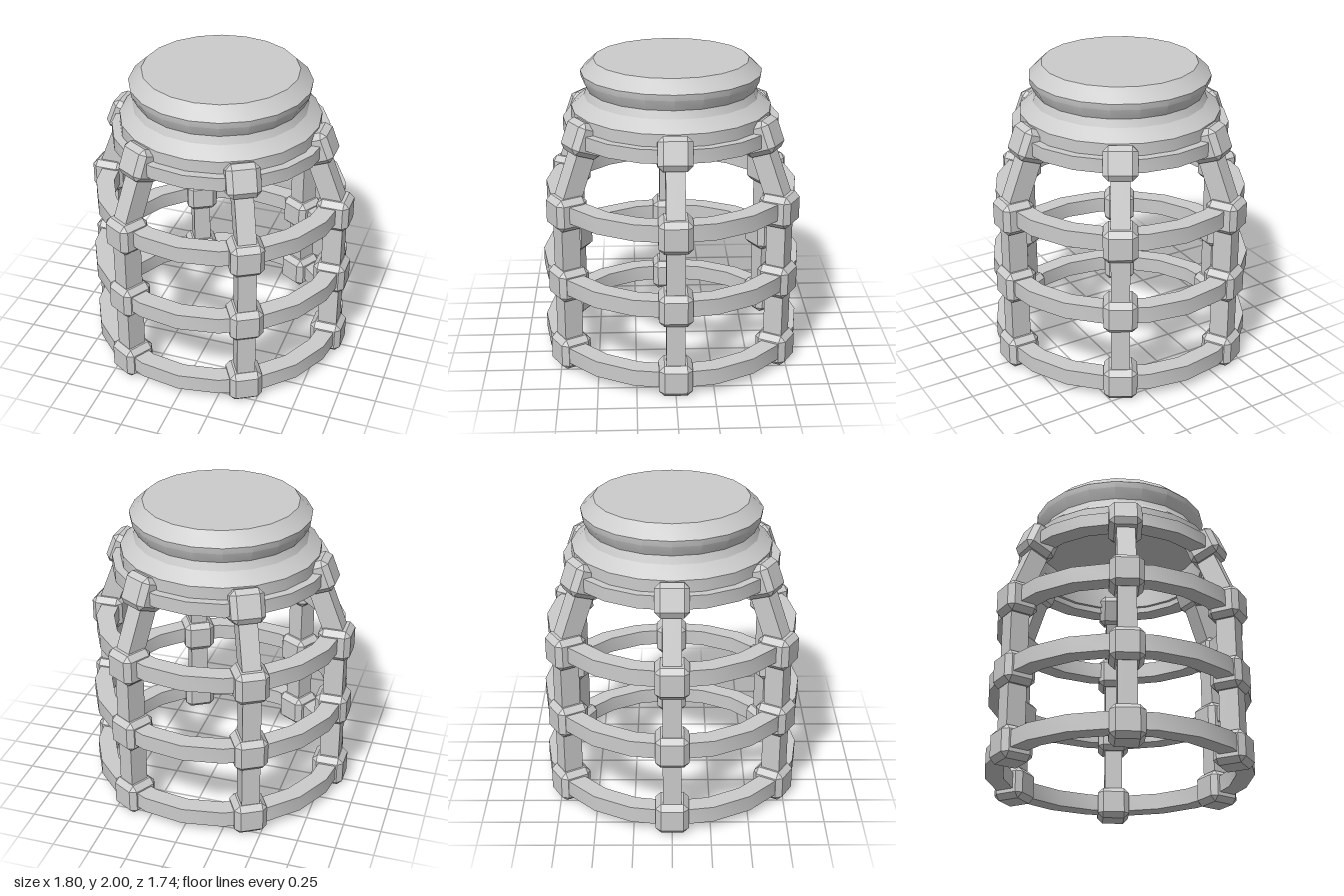
import * as THREE from 'three';
import { toCreasedNormals } from 'three/addons/utils/BufferGeometryUtils.js';
import { ConvexGeometry } from 'three/addons/geometries/ConvexGeometry.js';

const SIDES = 20;
const POSTS = 6;

export function createModel() {
  const model = new THREE.Group();
  model.name = 'cageWithCap';
  const material = new THREE.MeshStandardMaterial({ color: 0xcccccc });

  const add = (parent, name, geometry) => {
    const mesh = new THREE.Mesh(geometry, material);
    mesh.name = name;
    parent.add(mesh);
    return mesh;
  };

  // Turned part, smooth around the axis and sharp across the profile
  const turned = (profile) => toCreasedNormals(
    new THREE.LatheGeometry(profile.map(([r, y]) => new THREE.Vector2(r, y)), SIDES), 0.4);

  // Flat band with a rectangular section
  const band = (inner, outer, bottom, top) => turned([
    [inner, bottom], [outer, bottom], [outer, top], [inner, top], [inner, bottom],
  ]);

  // Cube with every edge chamfered
  const chamferedCube = (h, cut) => {
    const a = h - cut;
    const points = [];
    for (const x of [-1, 1]) for (const y of [-1, 1]) for (const z of [-1, 1]) {
      points.push(
        new THREE.Vector3(x * h, y * a, z * a),
        new THREE.Vector3(x * a, y * h, z * a),
        new THREE.Vector3(x * a, y * a, z * h));
    }
    return new ConvexGeometry(points);
  };

  // Hoops of the cage and the collar below the cap
  add(model, 'bottomHoop', band(0.75, 0.87, 0.06, 0.17));
  add(model, 'middleHoop', band(0.75, 0.87, 0.56, 0.67));
  add(model, 'upperHoop', band(0.715, 0.835, 1.055, 1.165));
  add(model, 'collar', band(0.59, 0.71, 1.52, 1.61));

  // Grooved cap, hollow underneath
  add(model, 'cap', turned([
    [0, 1.75], [0.57, 1.75], [0.57, 1.56], [0.655, 1.56], [0.655, 1.69],
    [0.57, 1.76], [0.55, 1.81], [0.585, 1.88], [0.59, 1.92], [0.505, 2], [0, 2],
  ]));

  // Upright posts that lean in to the collar, with a joint block at each hoop
  const radius = 0.795;
  const bend = new THREE.Vector2(radius, 1.1);
  const tip = new THREE.Vector2(0.65, 1.565);
  const lean = Math.atan2(bend.x - tip.x, tip.y - bend.y) + 0.07;
  const joint = chamferedCube(0.108, 0.035);
  const postGeometry = new THREE.BoxGeometry(0.13, 1, 0.12);
  const strutGeometry = new THREE.BoxGeometry(0.13, bend.distanceTo(tip), 0.12);

  for (let i = 0; i < POSTS; i++) {
    const rib = new THREE.Group();
    rib.name = `rib${i + 1}`;
    rib.rotation.y = (i / POSTS) * Math.PI * 2;
    model.add(rib);

    add(rib, 'post', postGeometry).position.set(radius, 0.6, 0);

    const strut = add(rib, 'leaningStrut', strutGeometry);
    strut.position.set((bend.x + tip.x) / 2, (bend.y + tip.y) / 2, 0);
    strut.rotation.z = lean;

    for (const y of [0.108, 0.605, 1.1]) {
      add(rib, 'joint', joint).position.set(0.79, y, 0);
    }
    const topJoint = add(rib, 'topJoint', joint);
    topJoint.position.set(tip.x, tip.y, 0);
    topJoint.rotation.z = lean;
  }

  return model;
}
